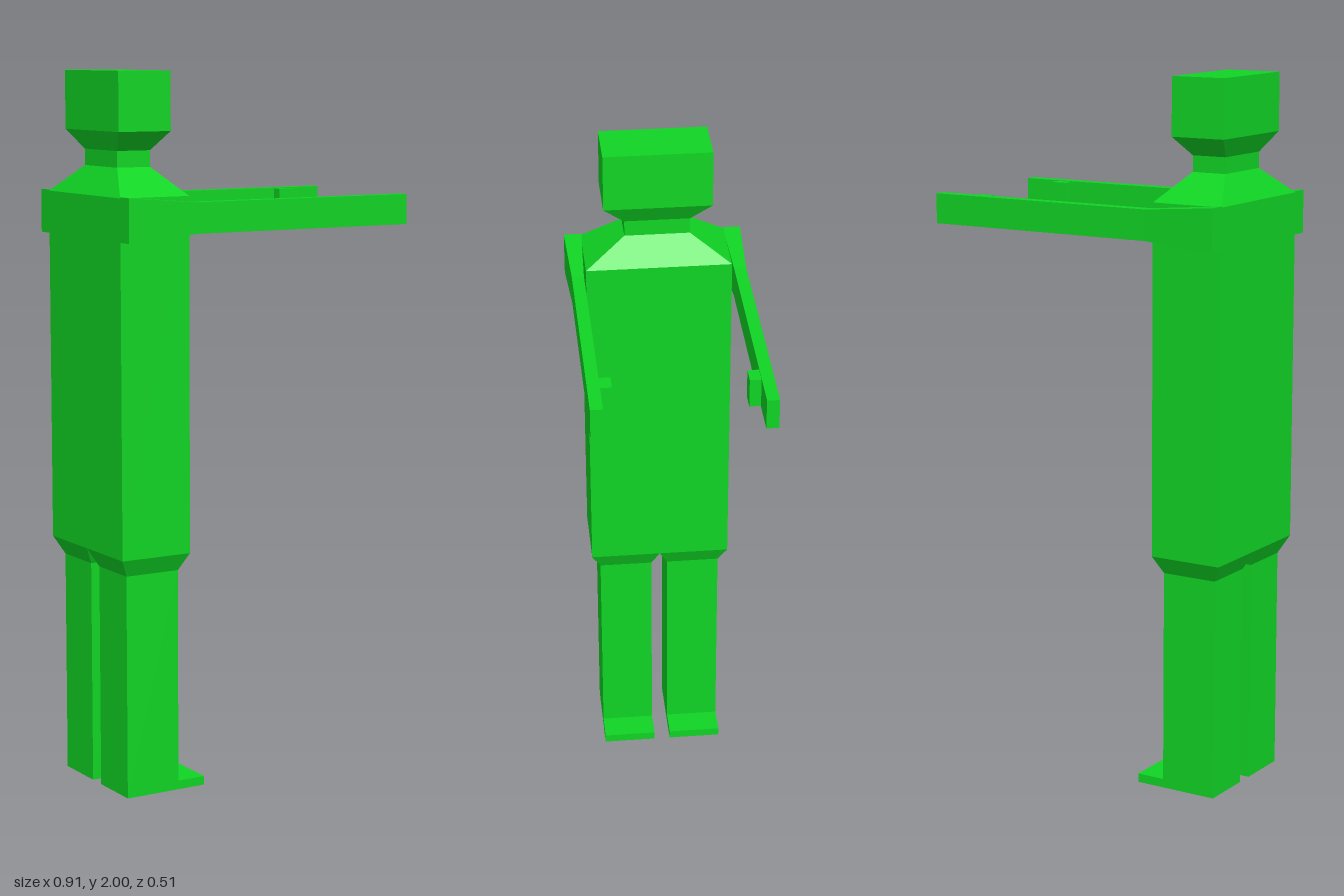
import * as THREE from 'three';

const green = new THREE.MeshStandardMaterial({ color: 0x10d424 });
green.name = 'green';

// Lofts rectangles [t, a0, a1, b0, b1] along an axis, t rising.
// Along y: a is x and b is z. Along x: a is z and b is y.
function loft(name, sections, axis = 'y') {
  const rings = sections.map(([t, a0, a1, b0, b1]) =>
    [[a0, b1], [a1, b1], [a1, b0], [a0, b0]].map(([a, b]) => (axis === 'y' ? [a, t, b] : [t, b, a])));
  const positions = [];
  const quad = (a, b, c, d) => positions.push(...a, ...b, ...c, ...a, ...c, ...d);
  for (let k = 0; k + 1 < rings.length; k++) {
    const low = rings[k], high = rings[k + 1];
    for (let i = 0; i < 4; i++) {
      const j = (i + 1) % 4;
      quad(low[i], low[j], high[j], high[i]);
    }
  }
  quad(...[...rings[0]].reverse());
  quad(...rings[rings.length - 1]);
  const geometry = new THREE.BufferGeometry();
  geometry.setAttribute('position', new THREE.Float32BufferAttribute(positions, 3));
  geometry.computeVertexNormals();
  const mesh = new THREE.Mesh(geometry, green);
  mesh.name = name;
  return mesh;
}

export function createModel() {
  const model = new THREE.Group();
  model.name = 'figure';

  // Torso with sloping shoulders, neck and head
  model.add(
    loft('torso', [
      [0.68, -0.454, -0.241, -0.205, 0.205],
      [1.665, -0.454, -0.241, -0.205, 0.205],
      [1.74, -0.4, -0.298, -0.092, 0.092],
    ]),
    loft('neck', [
      [1.74, -0.4, -0.298, -0.092, 0.092],
      [1.785, -0.4, -0.298, -0.092, 0.092],
    ]),
    loft('head', [
      [1.785, -0.4, -0.298, -0.092, 0.092],
      [1.838, -0.428, -0.267, -0.152, 0.152],
      [2, -0.428, -0.267, -0.152, 0.152],
    ]),
  );

  for (const side of [1, -1]) {
    const label = side > 0 ? 'front' : 'back';
    // Signed z range, kept in rising order
    const span = (inner, outer) => (side > 0 ? [inner, outer] : [-outer, -inner]);

    // Leg widening into the hip, with a flat foot
    model.add(
      loft(label + 'Leg', [
        [0, -0.428, -0.265, ...span(0.024, 0.179)],
        [0.63, -0.428, -0.265, ...span(0.024, 0.179)],
        [0.68, -0.454, -0.241, ...span(0, 0.205)],
      ]),
      loft(label + 'Foot', [
        [0, -0.265, -0.182, ...span(0.024, 0.179)],
        [0.025, -0.265, -0.182, ...span(0.024, 0.179)],
      ]),
    );

    // Tapered shoulder, straight outstretched arm and thumb
    model.add(
      loft(label + 'Arm', [
        [-0.454, ...span(0.203, 0.253), 1.547, 1.668],
        [-0.24, ...span(0.211, 0.245), 1.565, 1.65],
        [0.452, ...span(0.211, 0.245), 1.565, 1.65],
      ], 'x'),
      loft(label + 'Thumb', [
        [0.296, ...span(0.18, 0.211), 1.567, 1.648],
        [0.346, ...span(0.18, 0.211), 1.567, 1.648],
      ], 'x'),
    );
  }
  return model;
}
